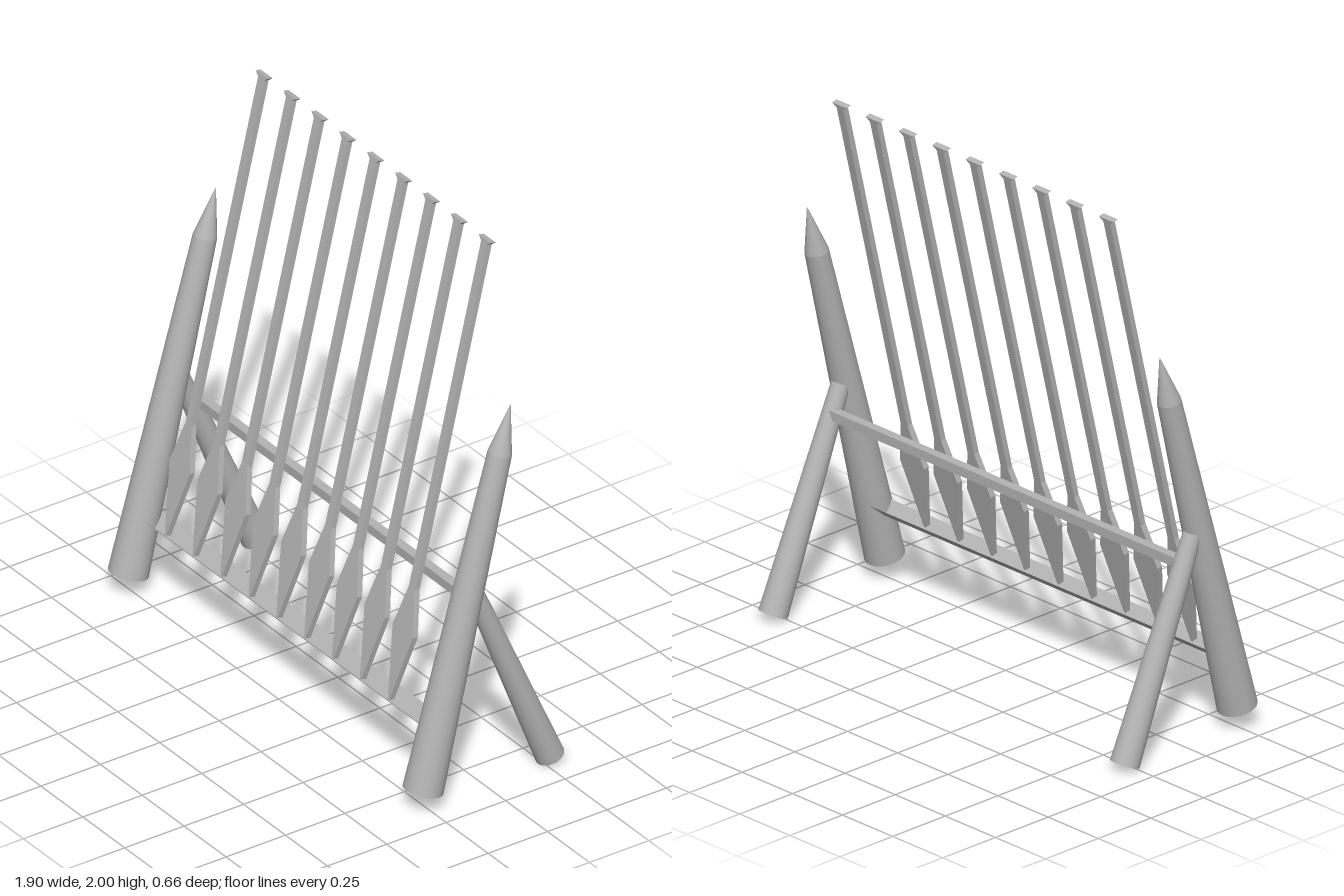
import * as THREE from 'three';

const grey = new THREE.MeshStandardMaterial({ color: 0xb4b4b4, side: THREE.DoubleSide });
grey.name = 'plain grey';

// Tapered round bar between two points
function taperedBar(name, from, to, rFrom, rTo, openEnded) {
  const a = new THREE.Vector3(...from), b = new THREE.Vector3(...to);
  const dir = b.clone().sub(a);
  const mesh = new THREE.Mesh(new THREE.CylinderGeometry(rTo, rFrom, dir.length(), 28, 1, openEnded), grey);
  mesh.name = name;
  mesh.position.copy(a).add(b).multiplyScalar(0.5);
  mesh.quaternion.setFromUnitVectors(new THREE.Vector3(0, 1, 0), dir.normalize());
  return mesh;
}

// Flat spear outline: half widths at heights measured down from the butt
function spearGeometry(lean) {
  const thickness = 0.022;
  const outline = [
    [0.004, 0.285], [0.06, 0.54], [0.017, 0.7], [0.017, 1.982], [0.036, 1.997]
  ].map(([w, y]) => [w, (y - 1.997) / Math.cos(lean)]);
  const points = [
    ...outline.map(([w, y]) => new THREE.Vector2(w, y)),
    ...outline.slice().reverse().map(([w, y]) => new THREE.Vector2(-w, y))
  ];
  const geometry = new THREE.ExtrudeGeometry(new THREE.Shape(points), { depth: thickness, bevelEnabled: false });
  return geometry.translate(0, 0, -thickness / 2);
}

export function createModel() {
  const rack = new THREE.Group();
  rack.name = 'spearRack';

  // Leaning sharpened posts, each with a rear prop
  for (const [side, postX, propX] of [['left', 0.876, 0.864], ['right', -0.882, -0.89]]) {
    const frame = new THREE.Group();
    frame.name = side + 'Frame';
    frame.add(
      taperedBar('post', [postX, 0.074, 0.26], [postX, 1.317, -0.063], 0.072, 0.043, true),
      taperedBar('postPoint', [postX, 1.317, -0.063], [postX, 1.493, -0.108], 0.043, 0.001, true),
      taperedBar('rearProp', [propX, 0.02, -0.281], [propX, 0.79, 0.04], 0.053, 0.034, true)
    );
    const propTop = new THREE.Mesh(new THREE.CircleGeometry(0.034, 28), grey);
    propTop.name = 'propTop';
    propTop.position.set(propX, 0.79, 0.04);
    propTop.rotation.x = Math.atan2(0.321, 0.77) - Math.PI / 2;
    frame.add(propTop);
    rack.add(frame);
  }

  // Upper rail the shafts lean on
  const rail = new THREE.Mesh(new THREE.BoxGeometry(1.74, 0.035, 0.035), grey);
  rail.name = 'upperRail';
  rail.position.set(-0.01, 0.695, -0.012);
  rack.add(rail);

  // V-shaped trough that holds the spear tips
  const walls = [[0.147, 0.195], [0.24, 0.195]];
  walls.forEach(([rimZ, valleyZ], i) => {
    const dz = rimZ - valleyZ, dy = 0.043;
    const wall = new THREE.Mesh(new THREE.PlaneGeometry(1.72, Math.hypot(dz, dy)), grey);
    wall.name = i ? 'troughFront' : 'troughBack';
    wall.position.set(-0.003, 0.2835, (rimZ + valleyZ) / 2);
    wall.rotation.x = Math.atan2(dz, dy);
    rack.add(wall);
  });

  // Row of spears, points down
  const lean = Math.atan(0.237);
  const geometry = spearGeometry(lean);
  for (let i = 0; i < 9; i++) {
    const spear = new THREE.Mesh(geometry, grey);
    spear.name = 'spear' + (i + 1);
    spear.position.set(-0.723 + i * 0.1663, 1.997, -0.2);
    spear.rotation.x = -lean;
    rack.add(spear);
  }
  return rack;
}
